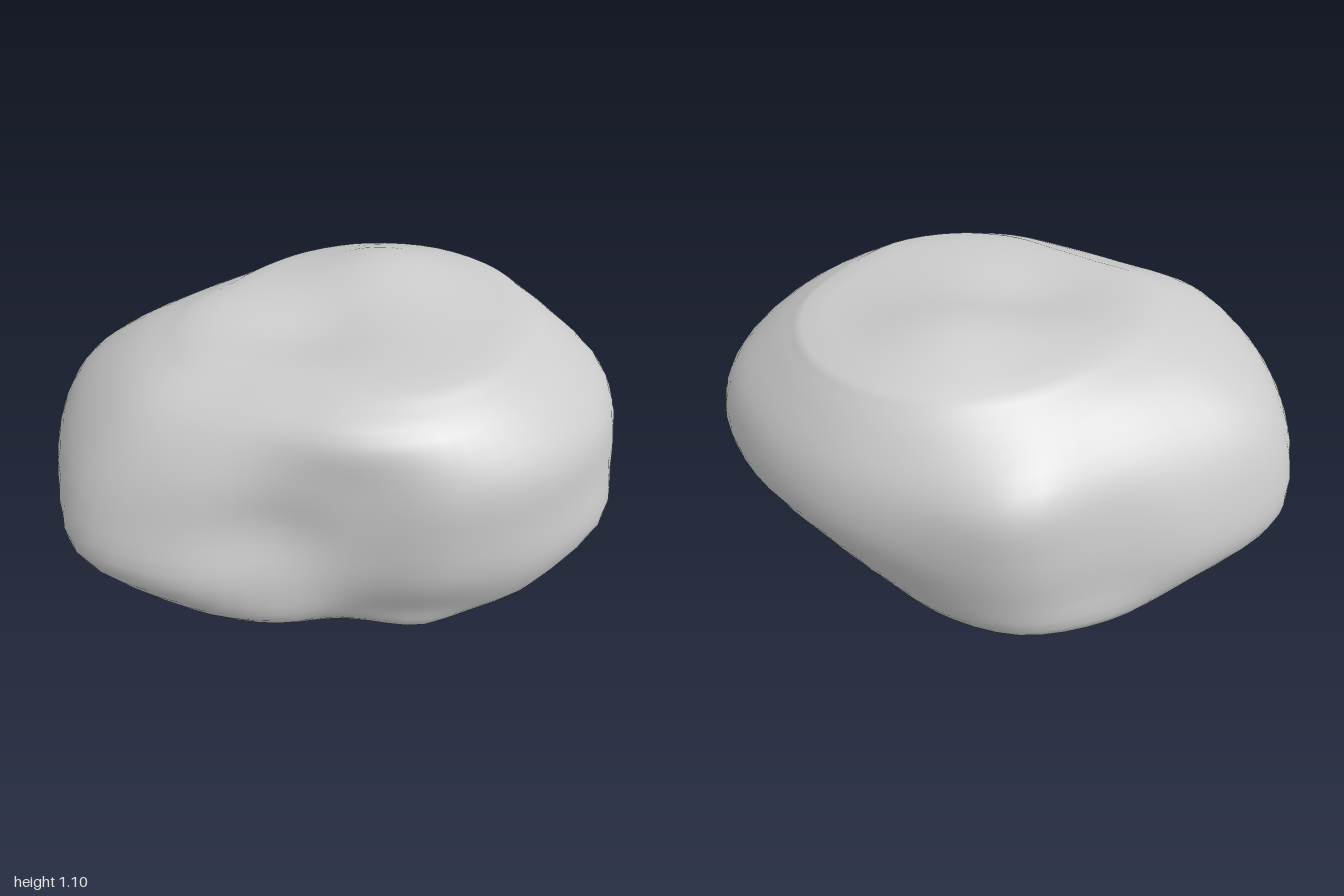
import * as THREE from 'three';

// Horizontal sections from the ground up. Each lists the distance from the
// upright axis every 22.5 degrees, from +x by way of the front (+z).
const SECTIONS = [
  { y: 0, r: [0.36, 0.38, 0.45, 0.55, 0.56, 0.5, 0.43, 0.45, 0.48, 0.46, 0.42, 0.39, 0.37, 0.37, 0.36, 0.36] },
  { y: 0.08, r: [0.6, 0.66, 0.76, 0.78, 0.74, 0.7, 0.58, 0.6, 0.63, 0.66, 0.64, 0.64, 0.63, 0.62, 0.62, 0.62] },
  { y: 0.18, r: [0.7, 0.74, 0.83, 0.92, 0.88, 0.74, 0.64, 0.72, 0.8, 0.86, 0.86, 0.88, 0.82, 0.82, 0.82, 0.76] },
  { y: 0.35, r: [0.83, 0.8, 0.93, 1.07, 0.96, 0.82, 0.7, 0.73, 0.9, 1.04, 1.0, 1.04, 0.92, 0.83, 0.86, 0.83] },
  { y: 0.55, r: [0.93, 1.0, 1.08, 1.06, 0.96, 0.84, 0.71, 0.68, 0.85, 1.01, 1.02, 1.03, 0.9, 0.82, 0.88, 0.87] },
  { y: 0.75, r: [0.91, 0.98, 1.05, 1.02, 0.94, 0.83, 0.7, 0.68, 0.78, 0.9, 0.93, 0.94, 0.81, 0.77, 0.86, 0.85] },
  { y: 0.92, r: [0.81, 0.86, 0.89, 0.86, 0.8, 0.74, 0.68, 0.62, 0.64, 0.74, 0.74, 0.72, 0.64, 0.62, 0.68, 0.74] },
  { y: 1.02, r: [0.72, 0.76, 0.75, 0.68, 0.65, 0.58, 0.5, 0.43, 0.43, 0.5, 0.5, 0.48, 0.45, 0.48, 0.55, 0.64] },
];

const AROUND = 64;
const UP = 28;
const CAP = [0.85, 0.7, 0.55, 0.4, 0.25, 0.1];

const bump = (x, z, cx, cz, r) => Math.exp(-((x - cx) ** 2 + (z - cz) ** 2) / (r * r));

// Height of the top: a crest towards +x and a shallow hollow beside it
function crown(x, z, t) {
  const rise = 0.02 + 0.08 * bump(x, z, 0.45, -0.05, 0.32) - 0.05 * bump(x, z, -0.15, 0, 0.25);
  return 1.02 + (1 - t ** 3) * rise;
}

function boulderGeometry() {
  // Smooth closed outline of each section
  const outlines = SECTIONS.map(({ y, r }) => new THREE.CatmullRomCurve3(
    r.map((d, i) => {
      const a = (i / r.length) * Math.PI * 2;
      return new THREE.Vector3(d * Math.cos(a), y, d * Math.sin(a));
    }), true));

  // Smooth columns through the sections
  const columns = Array.from({ length: AROUND }, (_, j) =>
    new THREE.CatmullRomCurve3(outlines.map((o) => o.getPoint(j / AROUND))).getPoints(UP));

  // Carry every column over the crown towards the middle
  for (const column of columns) {
    const rim = column[UP];
    for (const t of CAP) {
      const x = THREE.MathUtils.lerp(0.1, rim.x, t);
      const z = THREE.MathUtils.lerp(0.05, rim.z, t);
      column.push(new THREE.Vector3(x, crown(x, z, t), z));
    }
  }

  const points = columns.flat();
  const rows = columns[0].length;
  const bottom = points.push(new THREE.Vector3(-0.05, 0, 0.08)) - 1;
  const top = points.push(new THREE.Vector3(0.1, crown(0.1, 0.05, 0), 0.05)) - 1;

  // Join the columns and close both ends
  const index = [];
  for (let j = 0; j < AROUND; j++) {
    const a = j * rows;
    const b = ((j + 1) % AROUND) * rows;
    for (let i = 0; i < rows - 1; i++) {
      index.push(b + i, a + i, a + i + 1, b + i, a + i + 1, b + i + 1);
    }
    index.push(bottom, a, b, top, b + rows - 1, a + rows - 1);
  }

  const geometry = new THREE.BufferGeometry().setFromPoints(points);
  geometry.setIndex(index);
  geometry.computeVertexNormals();
  return geometry;
}

export function createModel() {
  const group = new THREE.Group();
  group.name = 'rock';
  const boulder = new THREE.Mesh(
    boulderGeometry(), new THREE.MeshStandardMaterial({ color: 0xcccccc }));
  boulder.name = 'boulder';
  group.add(boulder);
  return group;
}
